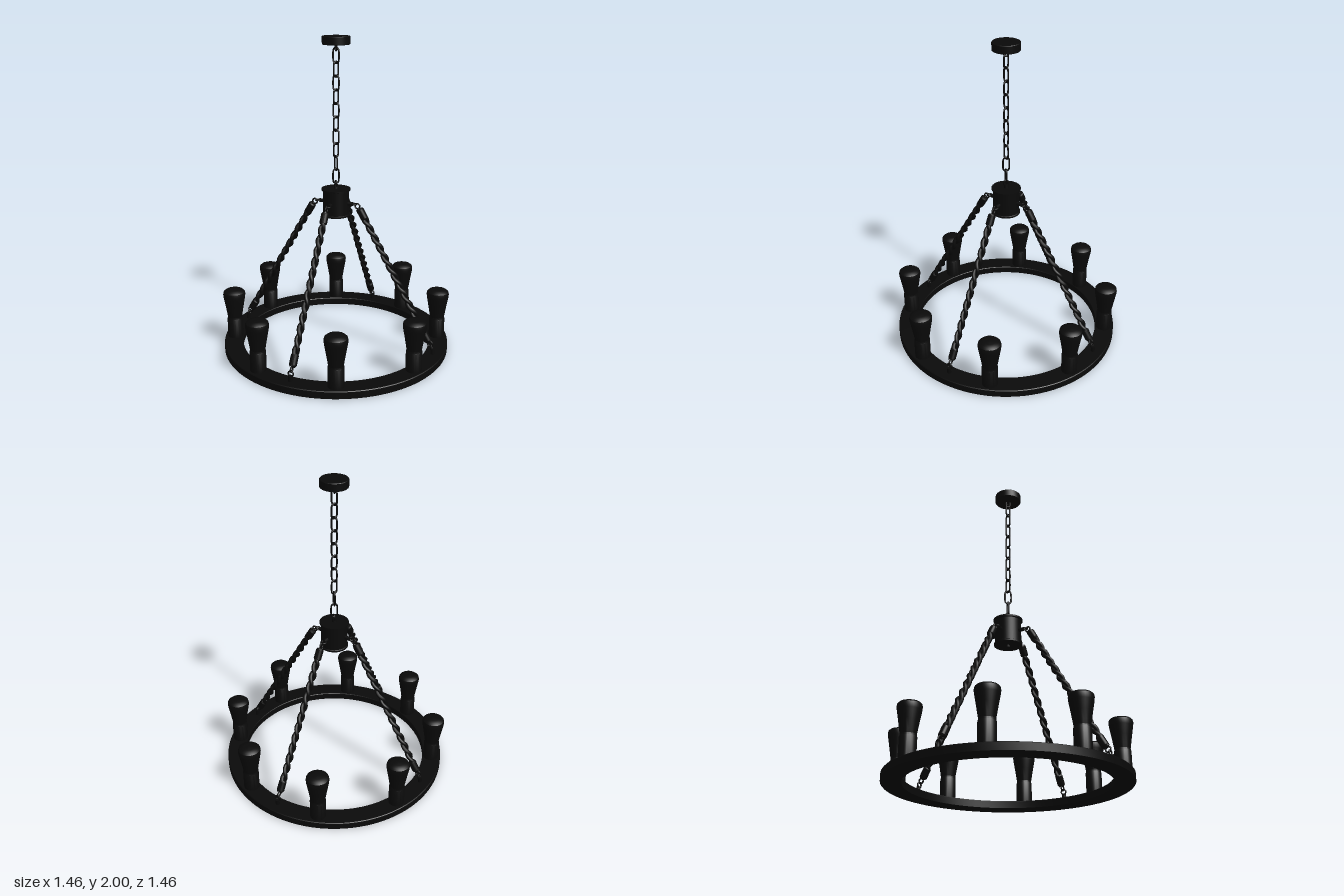
import * as THREE from 'three';
import { toCreasedNormals } from 'three/addons/utils/BufferGeometryUtils.js';

const black = new THREE.MeshStandardMaterial({ color: 0x0a0a0a });
const V = (x, y, z = 0) => new THREE.Vector3(x, y, z);

function add(parent, name, geometry, x = 0, y = 0, z = 0) {
  const mesh = new THREE.Mesh(geometry, black);
  mesh.name = name;
  mesh.position.set(x, y, z);
  parent.add(mesh);
  return mesh;
}

// Turned part: profile of [radius, height], outer side running upward
function turned(profile, segments = 32) {
  const points = profile.map(([r, y]) => new THREE.Vector2(r, y));
  return toCreasedNormals(new THREE.LatheGeometry(points, segments), 0.6);
}

// Closed wire loop, straight sided when taller than wide
function loop(halfWidth, halfHeight, wire) {
  const points = [];
  const straight = halfHeight - halfWidth;
  for (let i = 0; i < 16; i++) {
    const a = ((i + 0.5) / 16) * Math.PI * 2;
    points.push(V(halfWidth * Math.cos(a), halfWidth * Math.sin(a) + Math.sign(Math.sin(a)) * straight));
  }
  return new THREE.TubeGeometry(new THREE.CatmullRomCurve3(points, true), 40, wire, 8, true);
}

// Two strands twisted around the line from the origin up to the given length
function strand(length, turns, phase) {
  const points = [];
  const steps = turns * 8;
  for (let i = 0; i <= steps; i++) {
    const a = (i / 8) * Math.PI * 2 + phase;
    points.push(V(0.011 * Math.cos(a), (length * i) / steps, 0.011 * Math.sin(a)));
  }
  return new THREE.TubeGeometry(new THREE.CatmullRomCurve3(points), steps * 2, 0.0125, 10);
}

function createArm() {
  const arm = new THREE.Group();
  arm.name = 'ropeArm';

  // Peg and rings at the hub
  add(arm, 'hubPeg', new THREE.CylinderGeometry(0.012, 0.012, 0.04, 12), 0.095, 0.97).rotation.z = Math.PI / 2;
  add(arm, 'hubRing', new THREE.TorusGeometry(0.016, 0.005, 8, 20), 0.123, 0.97).rotation.x = Math.PI / 2;
  add(arm, 'topRing', new THREE.TorusGeometry(0.016, 0.005, 8, 20), 0.146, 0.96);

  // Twisted rope with a sleeve at each end
  const bottom = V(0.635, 0.13);
  const top = V(0.16, 0.945);
  const span = top.clone().sub(bottom);
  const length = span.length();
  const rope = new THREE.Group();
  rope.name = 'rope';
  rope.position.copy(bottom);
  rope.quaternion.setFromUnitVectors(V(0, 1), span.normalize());
  for (const phase of [0, Math.PI]) add(rope, 'ropeStrand', strand(length, 7, phase), 0, 0, 0);
  const sleeve = turned([[0, 0], [0.018, 0], [0.024, 0.008], [0.024, 0.068], [0.018, 0.076], [0, 0.076]], 16);
  add(rope, 'lowerSleeve', sleeve, 0, 0, 0);
  add(rope, 'upperSleeve', sleeve, 0, length - 0.076, 0);
  arm.add(rope);

  // Rings and post at the wheel
  add(arm, 'lowerRing', new THREE.TorusGeometry(0.016, 0.005, 8, 20), 0.646, 0.117);
  add(arm, 'postRing', new THREE.TorusGeometry(0.016, 0.005, 8, 20), 0.658, 0.095).rotation.y = Math.PI / 2;
  add(arm, 'post', new THREE.CylinderGeometry(0.013, 0.013, 0.04, 12), 0.665, 0.065);
  return arm;
}

function createLamp() {
  const lamp = new THREE.Group();
  lamp.name = 'lamp';
  add(lamp, 'socket', turned([[0, 0.045], [0.05, 0.045], [0.05, 0.175], [0.047, 0.18], [0.047, 0.188], [0, 0.188]]));
  add(lamp, 'bulb', turned([
    [0, 0.18], [0.046, 0.185], [0.05, 0.21], [0.06, 0.27], [0.07, 0.325], [0.072, 0.345],
    [0.069, 0.36], [0.058, 0.37], [0.035, 0.376], [0, 0.378],
  ]));
  return lamp;
}

export function createModel() {
  const model = new THREE.Group();
  model.name = 'chandelier';

  // Wheel ring
  add(model, 'wheel', turned([
    [0.613, 0], [0.727, 0], [0.731, 0.004], [0.731, 0.046], [0.727, 0.05],
    [0.613, 0.05], [0.61, 0.046], [0.61, 0.004], [0.613, 0],
  ], 96));

  // Eight lamps around the wheel
  for (let i = 0; i < 8; i++) {
    const a = THREE.MathUtils.degToRad(21.2 + i * 45);
    const lamp = createLamp();
    lamp.position.set(0.665 * Math.cos(a), 0, 0.665 * Math.sin(a));
    model.add(lamp);
  }

  // Four rope arms
  for (let i = 0; i < 4; i++) {
    const arm = createArm();
    arm.rotation.y = Math.PI / 4 + (i * Math.PI) / 2;
    model.add(arm);
  }

  // Hub with flange, bottom knob and top eye
  add(model, 'hub', turned([
    [0, 0.87], [0.012, 0.872], [0.014, 0.885], [0.088, 0.885], [0.088, 0.895], [0.083, 0.898],
    [0.083, 1.047], [0.092, 1.05], [0.092, 1.06], [0.014, 1.06], [0.012, 1.085], [0, 1.085],
  ], 48));
  add(model, 'hubEye', loop(0.014, 0.018, 0.005), 0, 1.09, 0).rotation.y = Math.PI / 2;

  // Hanging chain
  const chain = new THREE.Group();
  chain.name = 'chain';
  const link = loop(0.019, 0.046, 0.0055);
  for (let i = 0; i < 10; i++) {
    const yaw = i < 2 ? i * 90 : i % 2 ? -50 : 25;
    add(chain, 'chainLink', link, 0, 1.14 + i * 0.0828, 0).rotation.y = THREE.MathUtils.degToRad(yaw);
  }
  model.add(chain);

  // Ceiling canopy with its eye
  add(model, 'canopyEye', loop(0.013, 0.024, 0.005), 0, 1.937, 0).rotation.y = Math.PI / 2;
  add(model, 'canopy', turned([
    [0, 1.95], [0.082, 1.95], [0.085, 1.953], [0.085, 1.997], [0.082, 2], [0, 2],
  ], 48));
  return model;
}
